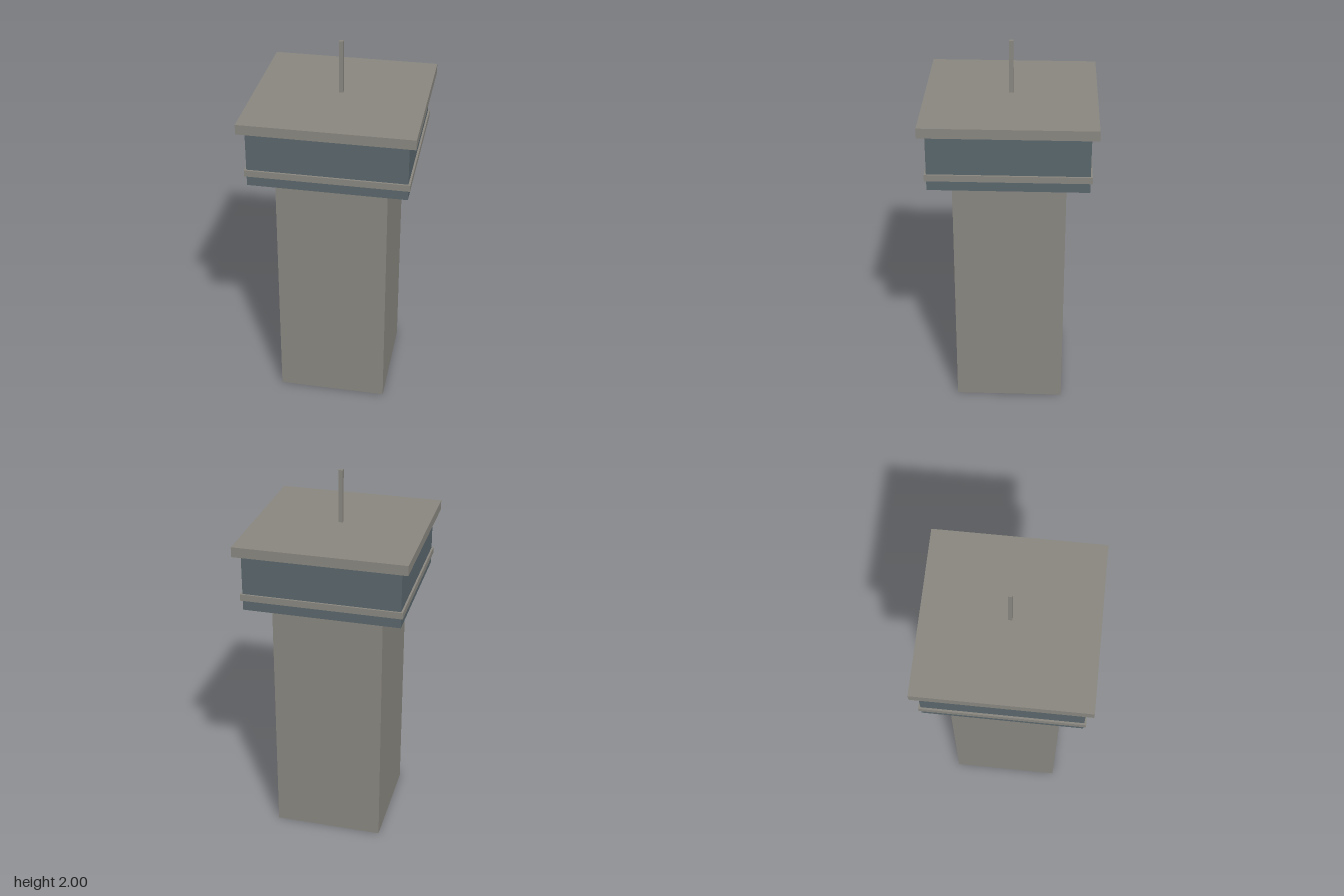
import * as THREE from 'three';

export function createModel() {
  const concrete = new THREE.MeshStandardMaterial({ name: 'concrete grey', color: 0x8a8780 });
  const glass = new THREE.MeshStandardMaterial({ name: 'blue grey glass', color: 0x5a676d });
  const tower = new THREE.Group();
  tower.name = 'tower';

  // Square block of the given width, from height y0 to y1
  function block(name, width, y0, y1, material) {
    const mesh = new THREE.Mesh(new THREE.BoxGeometry(width, y1 - y0, width), material);
    mesh.name = name;
    mesh.position.y = (y0 + y1) / 2;
    tower.add(mesh);
  }

  block('shaft', 0.58, 0, 1.364, concrete);
  block('cabin', 0.81, 1.364, 1.664, glass);
  block('sillBand', 0.83, 1.418, 1.452, concrete);
  block('roofSlab', 0.882, 1.664, 1.716, concrete);
  block('mast', 0.021, 1.722, 2, concrete);

  return tower;
}
